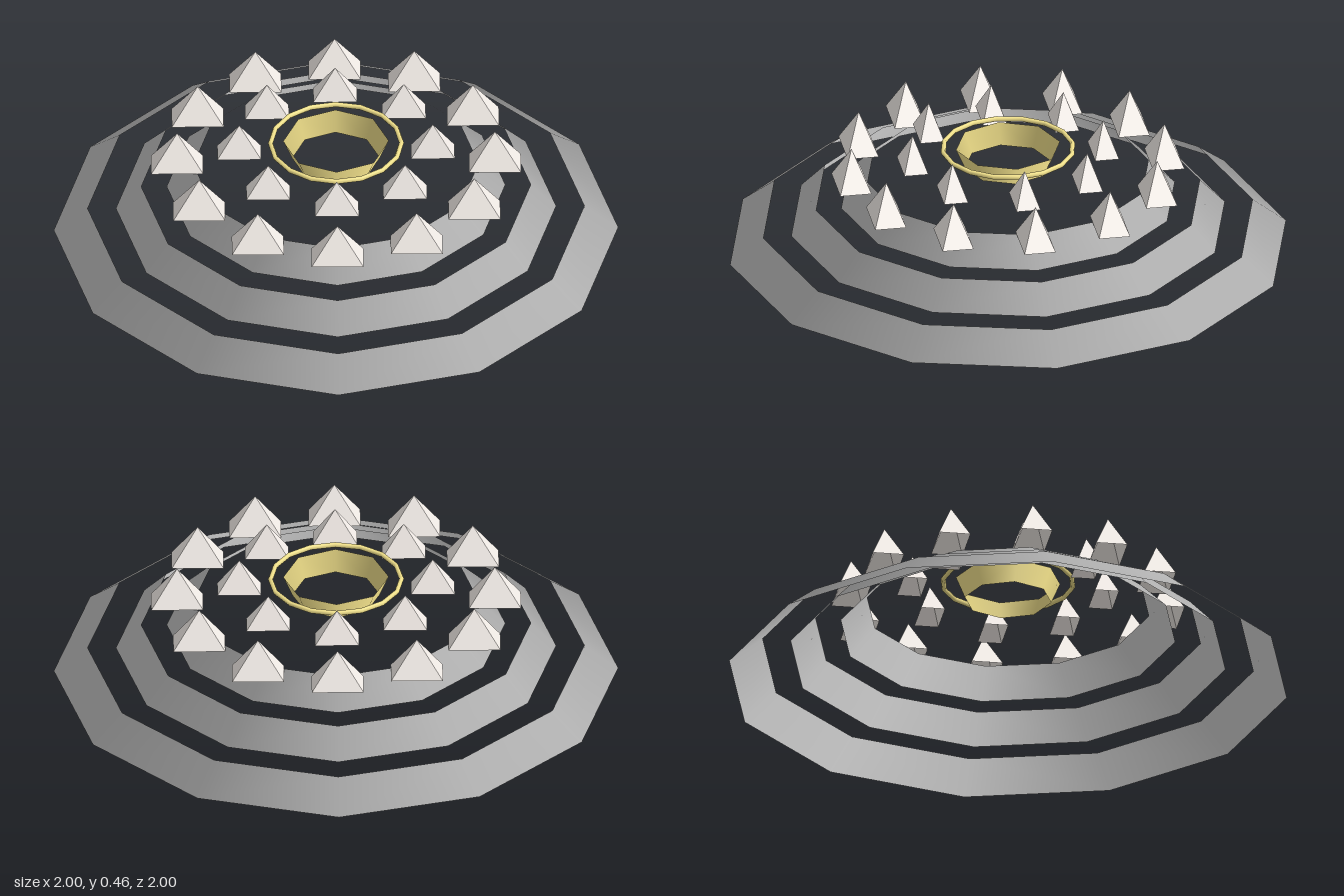
import * as THREE from 'three';

// Open tube whose ends get different radii; its normals stay horizontal
function taperedTube(top, bottom, height, sides) {
  const tube = new THREE.CylinderGeometry(1, 1, height, sides, 1, true);
  const p = tube.attributes.position;
  for (let i = 0; i < p.count; i++) {
    const r = p.getY(i) > 0 ? top : bottom;
    p.setX(i, p.getX(i) * r);
    p.setZ(i, p.getZ(i) * r);
  }
  return tube;
}

export function createModel() {
  const model = new THREE.Group();
  const side = THREE.DoubleSide;
  const stone = new THREE.MeshStandardMaterial({ color: 0xcccccc, side });
  const pale = new THREE.MeshStandardMaterial({ color: 0xf5efea, flatShading: true, side });
  const gold = new THREE.MeshStandardMaterial({ color: 0xf4e38c, side });

  const add = (name, geometry, material, x, y, z) => {
    const mesh = new THREE.Mesh(geometry, material);
    mesh.name = name;
    mesh.position.set(x, y, z);
    model.add(mesh);
    return mesh;
  };

  // Three open, sloping twelve-sided tiers
  const tierHeight = 0.0945;
  [[1, 0.88], [0.78, 0.69], [0.6, 0.505]].forEach(([bottom, top], i) => {
    const wall = taperedTube(top, bottom, tierHeight, 12);
    add('tier' + (i + 1), wall, stone, 0, tierHeight * (i + 0.5), 0);
  });

  // Circles of hollow rectangular pyramids, all aligned with the axes
  const pyramidCircle = (name, count, radius, width, height, depth, baseY) => {
    const pyramid = new THREE.ConeGeometry(Math.SQRT1_2, 1, 4, 1, true);
    pyramid.rotateY(Math.PI / 4);
    pyramid.scale(width, height, depth);
    for (let i = 0; i < count; i++) {
      const a = (i / count) * Math.PI * 2;
      add(name, pyramid, pale, radius * Math.cos(a), baseY + height / 2, radius * Math.sin(a));
    }
  };
  pyramidCircle('outerPyramid', 12, 0.563, 0.184, 0.138, 0.112, 0.284);
  pyramidCircle('innerPyramid', 8, 0.343, 0.155, 0.119, 0.086, 0.336);

  // Open golden collar with a thin ring around its rim
  add('collar', taperedTube(0.187, 0.155, 0.075, 8), gold, 0, 0.3475, 0);
  const ring = add('ring', new THREE.TorusGeometry(0.232, 0.009, 6, 16), gold, 0, 0.376, 0);
  ring.rotation.x = Math.PI / 2;

  return model;
}
